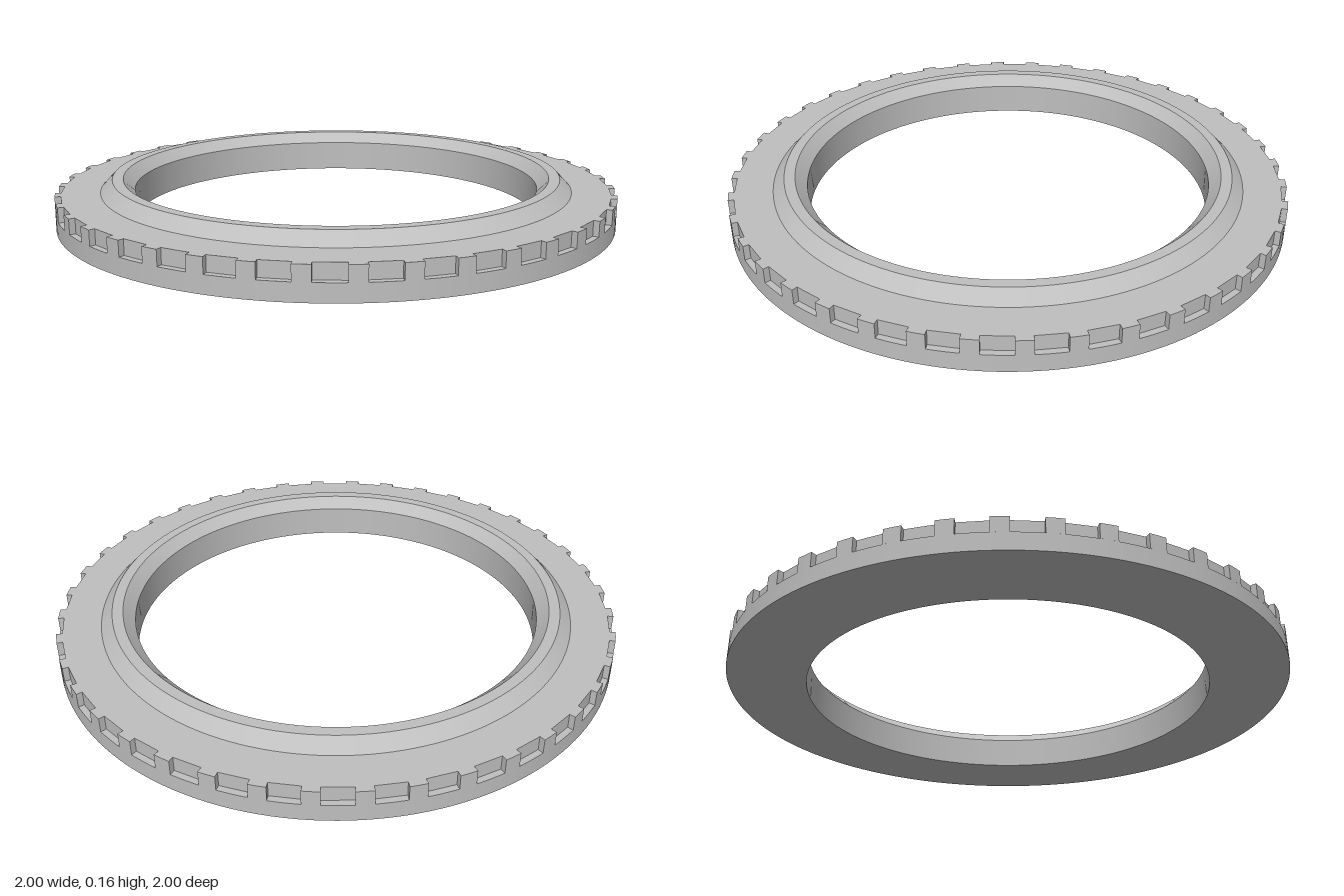
import * as THREE from 'three';
import { mergeGeometries, toCreasedNormals } from 'three/addons/utils/BufferGeometryUtils.js';

const NOTCHES = 40;
const NOTCH_HALF = 0.05;    // half width of a notch
const NOTCH_FLOOR = 0.978;  // distance of its flat back from the axis
const BASE_TOP = 0.06;
const FLANGE_TOP = 0.112;

// Turns each profile segment on its own, so the profile corners stay sharp
function turnedProfile(profile) {
  const bands = [];
  for (let i = 0; i < profile.length - 1; i++) {
    const pair = [profile[i], profile[i + 1]].map(([r, y]) => new THREE.Vector2(r, y));
    bands.push(new THREE.LatheGeometry(pair, 160));
  }
  return mergeGeometries(bands);
}

// Outline of the rim with square notches cut into its edge
function notchedOutline() {
  const points = [];
  const pitch = (Math.PI * 2) / NOTCHES;
  const edge = Math.asin(NOTCH_HALF);
  const polar = (r, a) => new THREE.Vector2(r * Math.cos(a), r * Math.sin(a));
  for (let i = 0; i < NOTCHES; i++) {
    const a = i * pitch;
    const back = Math.hypot(NOTCH_FLOOR, NOTCH_HALF);
    const backAngle = Math.atan2(NOTCH_HALF, NOTCH_FLOOR);
    points.push(polar(back, a - backAngle), polar(back, a + backAngle));
    // Tooth between this notch and the next
    for (let k = 0; k <= 2; k++) {
      points.push(polar(1, a + edge + (k / 2) * (pitch - 2 * edge)));
    }
  }
  return new THREE.Shape(points);
}

export function createModel() {
  const group = new THREE.Group();
  group.name = 'notchedRing';
  const grey = new THREE.MeshStandardMaterial({ color: 0xbfbfbf });
  grey.name = 'grey';

  // Base disc with the raised, bevelled inner collar
  const body = new THREE.Mesh(turnedProfile([
    [0.725, 0], [1, 0], [1, BASE_TOP], [0.845, BASE_TOP], [0.845, FLANGE_TOP],
    [0.803, 0.155], [0.765, 0.155], [0.725, 0.115], [0.725, 0],
  ]), grey);
  body.name = 'baseAndCollar';
  group.add(body);

  // Notched grip rim on top of the base
  const outline = notchedOutline();
  const hole = new THREE.Path();
  hole.absarc(0, 0, 0.843, 0, Math.PI * 2, true);
  outline.holes.push(hole);
  const rimGeometry = new THREE.ExtrudeGeometry(outline, {
    depth: FLANGE_TOP - BASE_TOP, bevelEnabled: false, curveSegments: 120,
  });
  rimGeometry.rotateX(-Math.PI / 2);
  rimGeometry.translate(0, BASE_TOP, 0);
  const rim = new THREE.Mesh(toCreasedNormals(rimGeometry, 0.5), grey);
  rim.name = 'notchedRim';
  group.add(rim);

  return group;
}
